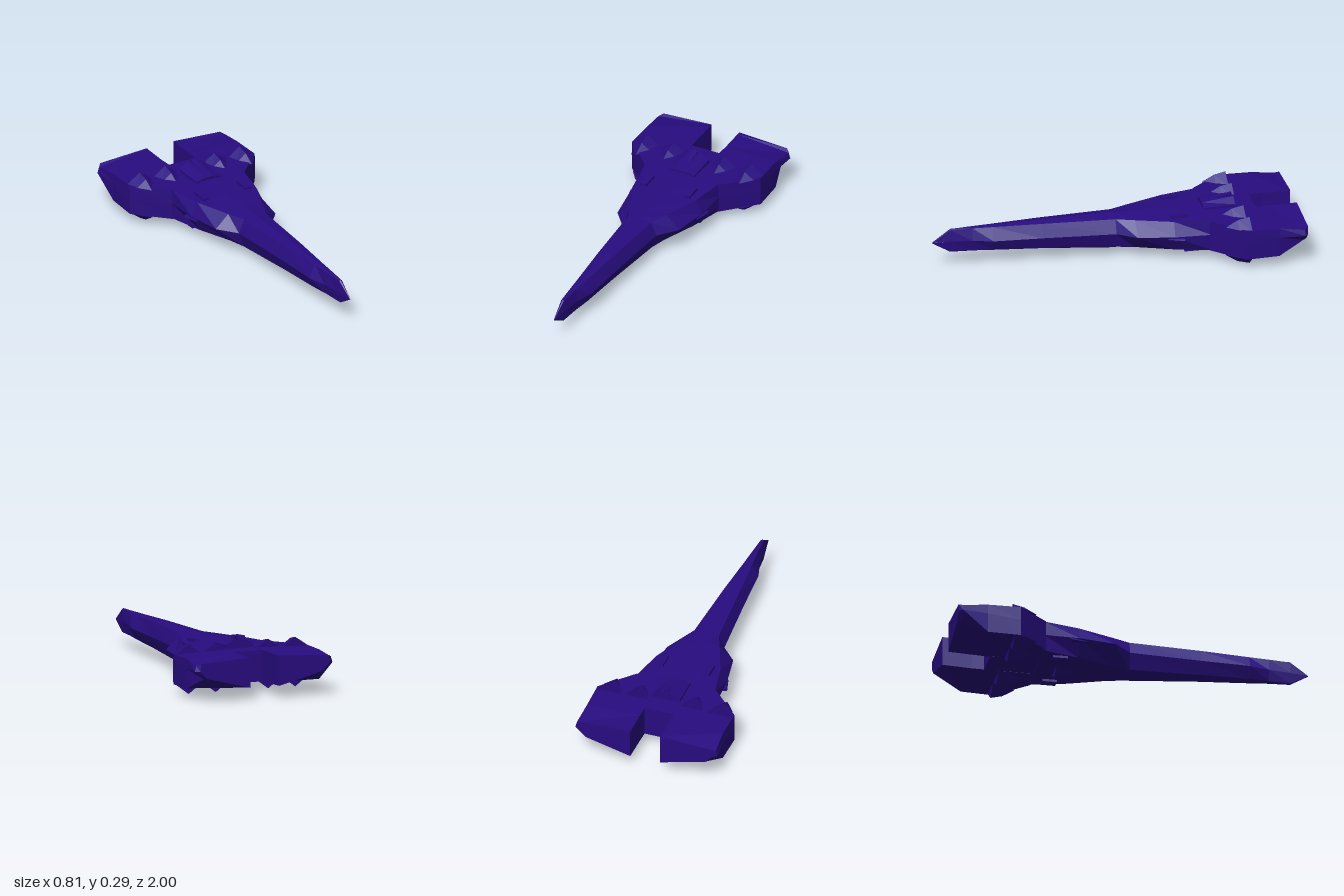
import * as THREE from 'three';

const material = new THREE.MeshStandardMaterial({ color: 0x280c80, flatShading: true });

// Skin a list of { z, pts } sections (front to back, counter-clockwise seen from +z).
function loft(name, sections, side = 1) {
  const rings = sections.map(({ z, pts }) => {
    const ring = pts.map(([x, y, dz = 0]) => new THREE.Vector3(x * side, y, z + dz));
    return side < 0 ? ring.reverse() : ring;
  });
  const out = [];
  const tri = (...vs) => vs.forEach(v => out.push(v.x, v.y, v.z));
  const n = rings[0].length;
  for (let i = 0; i + 1 < rings.length; i++) {
    for (let j = 0; j < n; j++) {
      const k = (j + 1) % n;
      tri(rings[i][j], rings[i + 1][j], rings[i][k]);
      tri(rings[i][k], rings[i + 1][j], rings[i + 1][k]);
    }
  }
  const first = rings[0], last = rings[rings.length - 1];
  for (let j = 1; j + 1 < n; j++) {
    tri(first[0], first[j], first[j + 1]);
    tri(last[0], last[j + 1], last[j]);
  }
  const geometry = new THREE.BufferGeometry();
  geometry.setAttribute('position', new THREE.Float32BufferAttribute(out, 3));
  geometry.computeVertexNormals();
  const mesh = new THREE.Mesh(geometry, material);
  mesh.name = name;
  return mesh;
}

function box(name, w, h, d, x, y, z) {
  const mesh = new THREE.Mesh(new THREE.BoxGeometry(w, h, d), material);
  mesh.name = name;
  mesh.position.set(x, y, z);
  return mesh;
}

// Symmetric hull section: keel, lower edge, side edge, upper edge, spine.
function hullSection([z, keel, xl, yl, xs, ys, xu, yu, spine]) {
  const half = [[xl, yl], [xs, ys], [xu, yu]];
  const mirrored = half.map(([x, y]) => [-x, y]).reverse();
  return { z, pts: [[0, keel], ...half, [0, spine], ...mirrored] };
}

// Triangular scoop swelling backwards; dir is +1 above the pod, -1 below it.
function scoop(name, x, base, peak, dir, zFront, zBack, halfWidth) {
  const section = (t, w, h) => {
    const top = base + (peak - base) * h;
    const pts = [[x - halfWidth * w, base], [x + halfWidth * w, base], [x, top]];
    return { z: zFront + (zBack - zFront) * t, pts: dir < 0 ? pts.reverse() : pts };
  };
  return loft(name, [section(0, 0.05, 0.02), section(0.5, 0.68, 0.72), section(1, 1, 1)]);
}

export function createModel() {
  const model = new THREE.Group();
  model.name = 'spaceship';

  // Long hull, from the chisel nose to the broad shoulders
  const hull = [
    [1.00, 0.138, 0.001, 0.139, 0.002, 0.14, 0.001, 0.141, 0.142],
    [0.90, 0.080, 0.008, 0.085, 0.014, 0.145, 0.008, 0.21, 0.215],
    [0.78, 0.076, 0.017, 0.085, 0.030, 0.145, 0.016, 0.213, 0.218],
    [0.67, 0.072, 0.030, 0.083, 0.060, 0.145, 0.024, 0.214, 0.220],
    [0.40, 0.058, 0.045, 0.075, 0.074, 0.145, 0.045, 0.218, 0.226],
    [0.00, 0.025, 0.070, 0.058, 0.102, 0.145, 0.070, 0.220, 0.232],
    [-0.10, 0.030, 0.095, 0.058, 0.188, 0.150, 0.110, 0.222, 0.234],
    [-0.30, 0.043, 0.170, 0.058, 0.222, 0.150, 0.185, 0.226, 0.238],
    [-0.50, 0.055, 0.225, 0.059, 0.228, 0.150, 0.224, 0.232, 0.242],
  ];
  model.add(loft('hull', hull.map(hullSection)));

  // Bridge between the pods and the raised dorsal housing
  model.add(box('podBridge', 0.19, 0.172, 0.29, 0, 0.146, -0.625));
  const housing = (z, edge, top) => ({
    z, pts: [[-0.08, 0.22], [0.08, 0.22], [0.08, edge], [0.03, top], [-0.03, top], [-0.08, edge]],
  });
  model.add(loft('dorsalHousing', [housing(-0.485, 0.246, 0.258), housing(-0.66, 0.253, 0.28)]));
  model.add(loft('dorsalCrest', [
    { z: -0.57, pts: [[-0.006, 0.26], [0.006, 0.26], [0.008, 0.27], [-0.008, 0.27]] },
    { z: -0.655, pts: [[-0.01, 0.265], [0.01, 0.265], [0.015, 0.291], [-0.015, 0.291]] },
  ]));

  // Keel intake
  model.add(scoop('keelIntake', 0, 0.06, 0.003, -1, -0.27, -0.40, 0.08));

  for (const side of [1, -1]) {
    // Engine pod with a flared rear lip and an undercut outer corner
    model.add(loft('enginePod', [
      { z: -0.49, pts: [[0.08, 0.059], [0.228, 0.059], [0.23, 0.15], [0.228, 0.232], [0.08, 0.236]] },
      { z: -0.66, pts: [[0.08, 0.059], [0.393, 0.059], [0.394, 0.15], [0.393, 0.226], [0.08, 0.235]] },
      { z: -0.84, pts: [[0.085, 0.063], [0.39, 0.064], [0.393, 0.172], [0.39, 0.226], [0.085, 0.232]] },
      { z: -0.98, pts: [[0.085, 0.069], [0.355, 0.132], [0.407, 0.176], [0.398, 0.208], [0.085, 0.235]] },
      { z: -1.00, pts: [[0.085, 0.07], [0.34, 0.135], [0.382, 0.178], [0.378, 0.22], [0.085, 0.236]] },
    ], side));

    // Slatted exhaust on the pod's rear face
    for (let i = 0; i < 4; i++) {
      model.add(box('exhaustSlat', 0.12, 0.008, 0.008, side * 0.16, 0.16 + i * 0.018, -0.996));
    }

    // Paired scoops above and below each pod
    for (const x of [0.155, 0.315]) {
      model.add(scoop('upperScoop', side * x, 0.224, 0.277, 1, -0.56, -0.69, 0.078));
      model.add(scoop('lowerScoop', side * x, 0.062, 0.005, -1, -0.56, -0.69, 0.078));
    }

    // Roof vent, side fin and belly vent
    const vent = box('roofVent', 0.038, 0.02, 0.095, side * 0.132, 0.236, -0.34);
    vent.rotation.x = 0.08;
    model.add(vent);
    model.add(loft('sideFin', [
      { z: -0.26, pts: [[0.2, 0.13], [0.217, 0.134], [0.217, 0.138], [0.2, 0.142]] },
      { z: -0.35, pts: [[0.2, 0.122], [0.241, 0.132], [0.238, 0.142], [0.2, 0.15]] },
    ], side));
    model.add(box('bellyVent', 0.05, 0.016, 0.08, side * 0.155, 0.052, -0.40));
  }
  return model;
}
